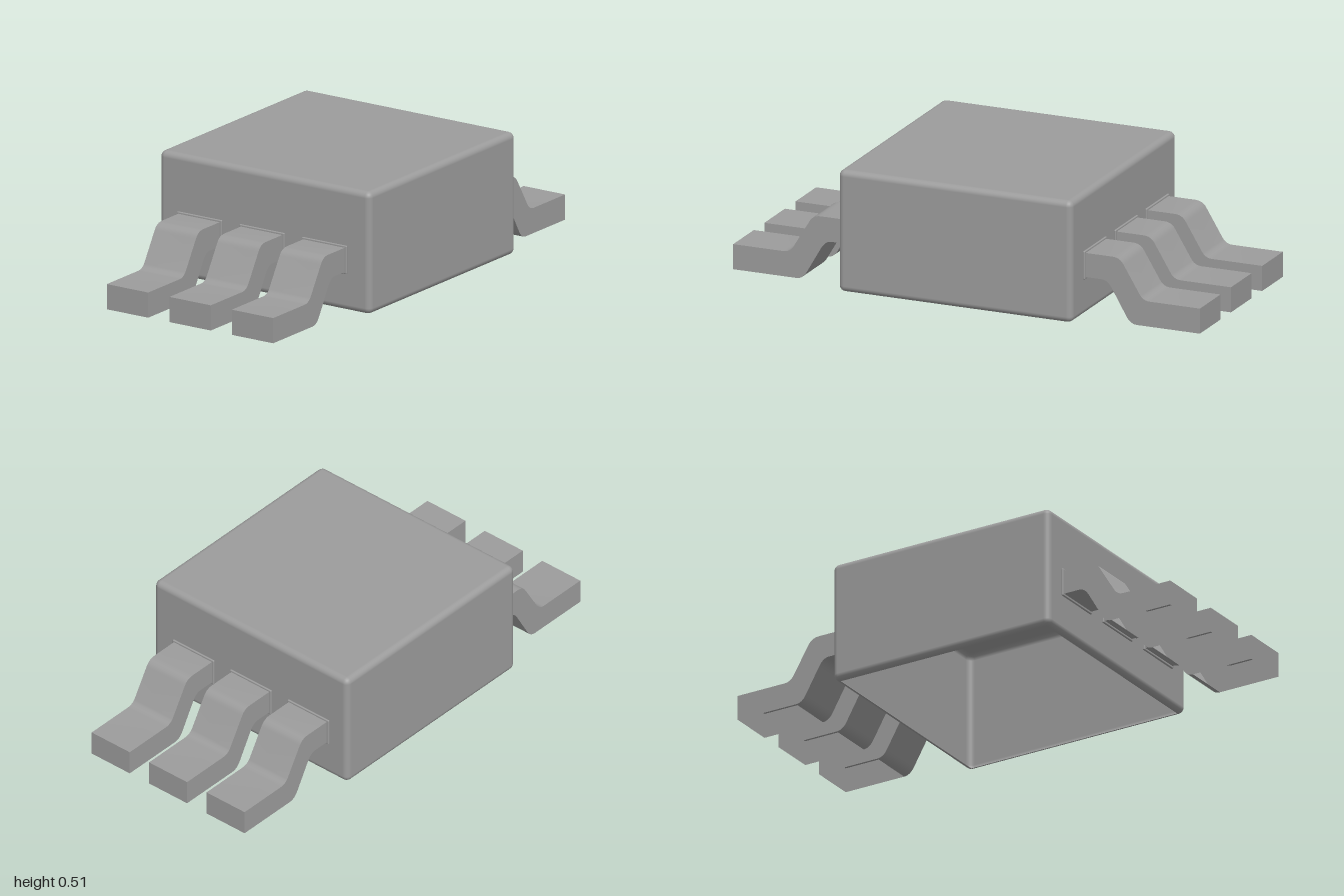
import * as THREE from 'three';
import { toCreasedNormals } from 'three/addons/utils/BufferGeometryUtils.js';
import { RoundedBoxGeometry } from 'three/addons/geometries/RoundedBoxGeometry.js';

const LEG_WIDTH = 0.197;
const LEG_CENTRES = [-0.305, -0.007, 0.29];

// Drop the triangles lying flat on the lowest plane, leaving an open underside
function openBottom(geometry) {
  const source = geometry.index ? geometry.toNonIndexed() : geometry;
  source.computeBoundingBox();
  const limit = source.boundingBox.min.y + 1e-4;
  const p = source.attributes.position, n = source.attributes.normal;
  const positions = [], normals = [];
  for (let i = 0; i < p.count; i += 3) {
    if ([0, 1, 2].every((k) => p.getY(i + k) < limit)) continue;
    for (let k = i; k < i + 3; k++) {
      positions.push(p.getX(k), p.getY(k), p.getZ(k));
      normals.push(n.getX(k), n.getY(k), n.getZ(k));
    }
  }
  const result = new THREE.BufferGeometry();
  result.setAttribute('position', new THREE.Float32BufferAttribute(positions, 3));
  result.setAttribute('normal', new THREE.Float32BufferAttribute(normals, 3));
  return result;
}

// Gull-wing leg: side profile (outward, up) extruded across its width
function legGeometry() {
  const s = new THREE.Shape();
  s.moveTo(0.502, 0.168);
  s.lineTo(0.58, 0.168);
  s.quadraticCurveTo(0.605, 0.168, 0.624, 0.135);
  s.lineTo(0.685, 0.03);
  s.quadraticCurveTo(0.702, 0, 0.73, 0);
  s.lineTo(1, 0);
  s.lineTo(1, 0.103);
  s.lineTo(0.785, 0.103);
  s.quadraticCurveTo(0.755, 0.103, 0.74, 0.13);
  s.lineTo(0.673, 0.24);
  s.quadraticCurveTo(0.658, 0.267, 0.625, 0.267);
  s.lineTo(0.502, 0.267);
  s.closePath();
  const g = new THREE.ExtrudeGeometry(s, { depth: LEG_WIDTH, bevelEnabled: false, curveSegments: 6 });
  g.translate(0, 0, -LEG_WIDTH / 2).rotateY(-Math.PI / 2);
  return openBottom(toCreasedNormals(g, 0.6));
}

export function createModel() {
  const model = new THREE.Group();
  const material = new THREE.MeshStandardMaterial({ color: 0x9c9c9c, side: THREE.DoubleSide });

  // Hollow body, rounded edges, open underneath
  const body = new THREE.Mesh(openBottom(new RoundedBoxGeometry(1.004, 0.5, 1.002, 3, 0.025)), material);
  body.name = 'body';
  body.position.y = 0.257;
  model.add(body);

  // Three legs with collars on the front, repeated on the back
  const leg = legGeometry();
  const collar = new RoundedBoxGeometry(0.214, 0.116, 0.009, 2, 0.004);
  for (const side of [1, -1]) {
    const row = new THREE.Group();
    row.name = side > 0 ? 'frontLegs' : 'backLegs';
    if (side < 0) row.rotation.y = Math.PI;
    for (const x of LEG_CENTRES) {
      const legMesh = new THREE.Mesh(leg, material);
      legMesh.name = 'leg';
      legMesh.position.x = x * side;
      const collarMesh = new THREE.Mesh(collar, material);
      collarMesh.name = 'legCollar';
      collarMesh.position.set(x * side, 0.217, 0.506);
      row.add(legMesh, collarMesh);
    }
    model.add(row);
  }
  return model;
}
